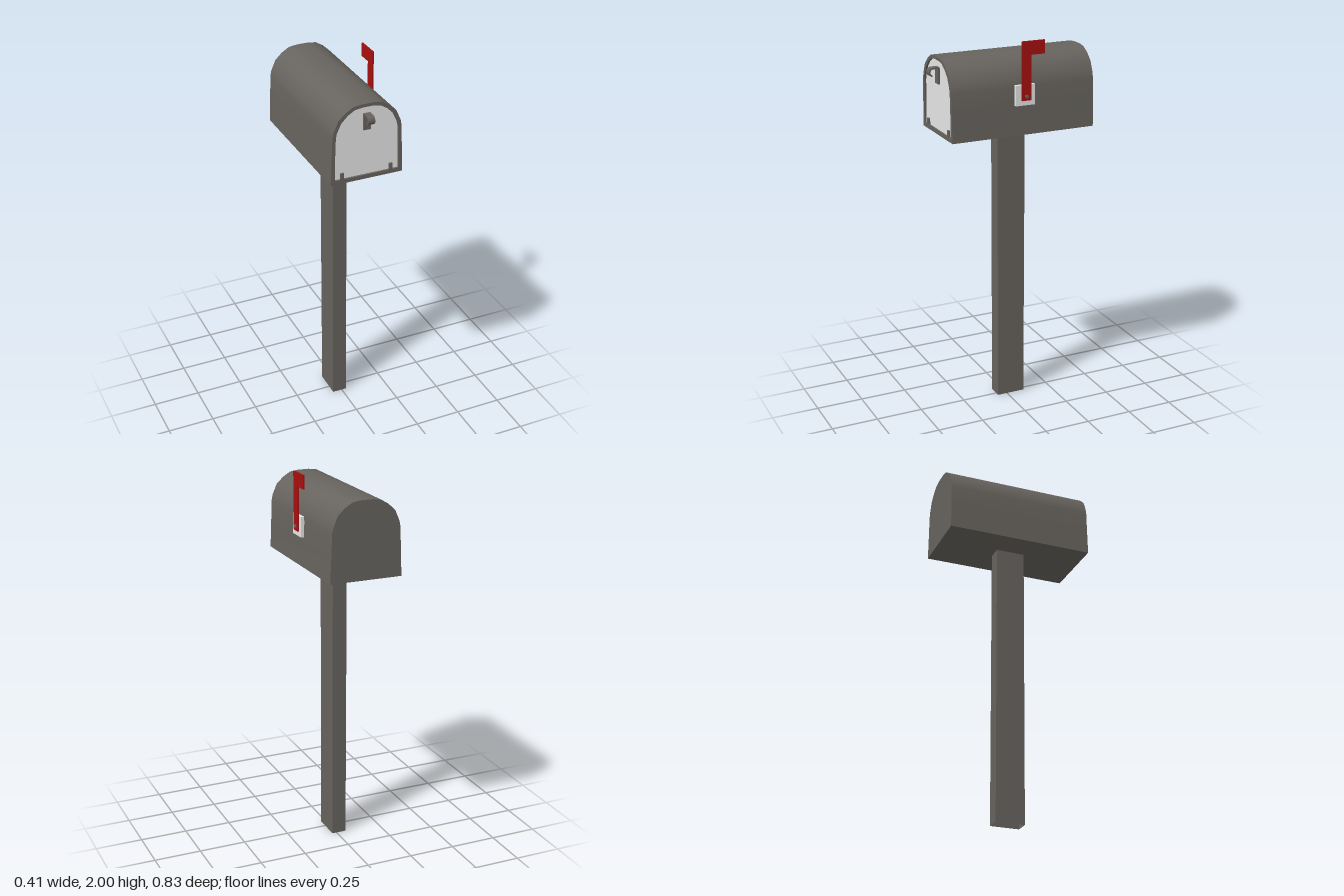
import * as THREE from 'three';
import { toCreasedNormals } from 'three/addons/utils/BufferGeometryUtils.js';

export function createModel() {
  const model = new THREE.Group();
  const material = (name, color, side = THREE.FrontSide) => {
    const m = new THREE.MeshStandardMaterial({ color, side });
    m.name = name;
    return m;
  };
  const metal = material('dark grey metal', 0x67635e, THREE.DoubleSide);
  const pale = material('pale grey paint', 0xe6e6e6);
  const red = material('red paint', 0xa81010);

  const add = (name, geometry, mat, x = 0, y = 0, z = 0) => {
    const mesh = new THREE.Mesh(geometry, mat);
    mesh.name = name;
    mesh.position.set(x, y, z);
    model.add(mesh);
    return mesh;
  };
  const box = (name, mat, w, h, d, x, y, z) => add(name, new THREE.BoxGeometry(w, h, d), mat, x, y, z);
  const extrude = (shape, depth) =>
    toCreasedNormals(new THREE.ExtrudeGeometry(shape, { depth, bevelEnabled: false, curveSegments: 6 }), 0.75);

  const cx = -0.013;

  // Arched outline from half-width and height pairs, mirrored across the middle
  const arch = (half) => [
    ...half.map(([x, y]) => new THREE.Vector2(x, y)),
    ...half.slice().reverse().map(([x, y]) => new THREE.Vector2(-x, y)),
  ];
  const outer = arch([[0.192, 1.52], [0.186, 1.66], [0.182, 1.77], [0.176, 1.8], [0.152, 1.855], [0.115, 1.89], [0.075, 1.914], [0.03, 1.92]]);
  const inner = arch([[0.17, 1.541], [0.168, 1.66], [0.164, 1.77], [0.158, 1.795], [0.136, 1.842], [0.103, 1.875], [0.067, 1.897], [0.027, 1.903]]);

  // Shell with an open front rim
  const shell = new THREE.Shape(outer);
  shell.holes.push(new THREE.Path(inner));
  add('shell', extrude(shell, 0.785), metal, cx, 0, -0.415);
  add('backPanel', extrude(new THREE.Shape(inner), 0.01), metal, cx, 0, -0.415);

  // Recessed door with two hinge tabs
  add('door', extrude(new THREE.Shape(inner), 0.01), pale, cx, 0, 0.35);
  for (const side of [-1, 1]) {
    box('hingeTab', metal, 0.018, 0.032, 0.012, cx + side * 0.13, 1.557, 0.364);
  }

  // Curled door handle on a mounting strip
  box('handleMount', metal, 0.038, 0.085, 0.01, cx, 1.825, 0.365);
  const hook = new THREE.Shape();
  hook.moveTo(0.365, 1.868);
  hook.lineTo(0.395, 1.868);
  hook.absarc(0.395, 1.845, 0.023, Math.PI / 2, -Math.PI * 0.42 + 0, true);
  hook.absarc(0.395, 1.845, 0.015, -Math.PI * 0.42, Math.PI / 2, false);
  hook.lineTo(0.365, 1.86);
  const handle = add('handle', extrude(hook, 0.036), metal, cx + 0.018, 0, 0);
  handle.rotation.y = -Math.PI / 2;

  // Hollow post, open at the foot
  const post = new THREE.Shape([[-0.053, -0.055], [0.025, -0.055], [0.025, 0.1], [-0.053, 0.1]]
    .map(([x, y]) => new THREE.Vector2(x, y)));
  const postGeometry = new THREE.ExtrudeGeometry(post, { depth: 1.525, bevelEnabled: false });
  // Only the side walls are drawn
  const walls = postGeometry.groups[1];
  postGeometry.clearGroups();
  postGeometry.setDrawRange(walls.start, walls.count);
  const trimmed = new THREE.BufferGeometry();
  for (const key of ['position', 'normal', 'uv']) {
    const a = postGeometry.attributes[key];
    const part = a.array.slice(walls.start * a.itemSize, (walls.start + walls.count) * a.itemSize);
    trimmed.setAttribute(key, new THREE.BufferAttribute(part, a.itemSize));
  }
  add('post', trimmed, metal).rotation.x = -Math.PI / 2;

  // Flag bracket, flag and pivot on the left side
  box('flagBracket', pale, 0.018, 0.105, 0.105, 0.179, 1.727, -0.023);
  const flag = new THREE.Shape([[0, 1.7], [0.052, 1.7], [0.052, 1.93], [0.125, 1.93], [0.125, 2], [0, 2]]
    .map(([x, y]) => new THREE.Vector2(x, y)));
  add('flag', extrude(flag, 0.008), red, 0.188, 0, 0).rotation.y = Math.PI / 2;
  const pivot = add('flagPivot', new THREE.CylinderGeometry(0.009, 0.009, 0.012, 10), metal, 0.198, 1.722, -0.026);
  pivot.rotation.z = Math.PI / 2;

  return model;
}
